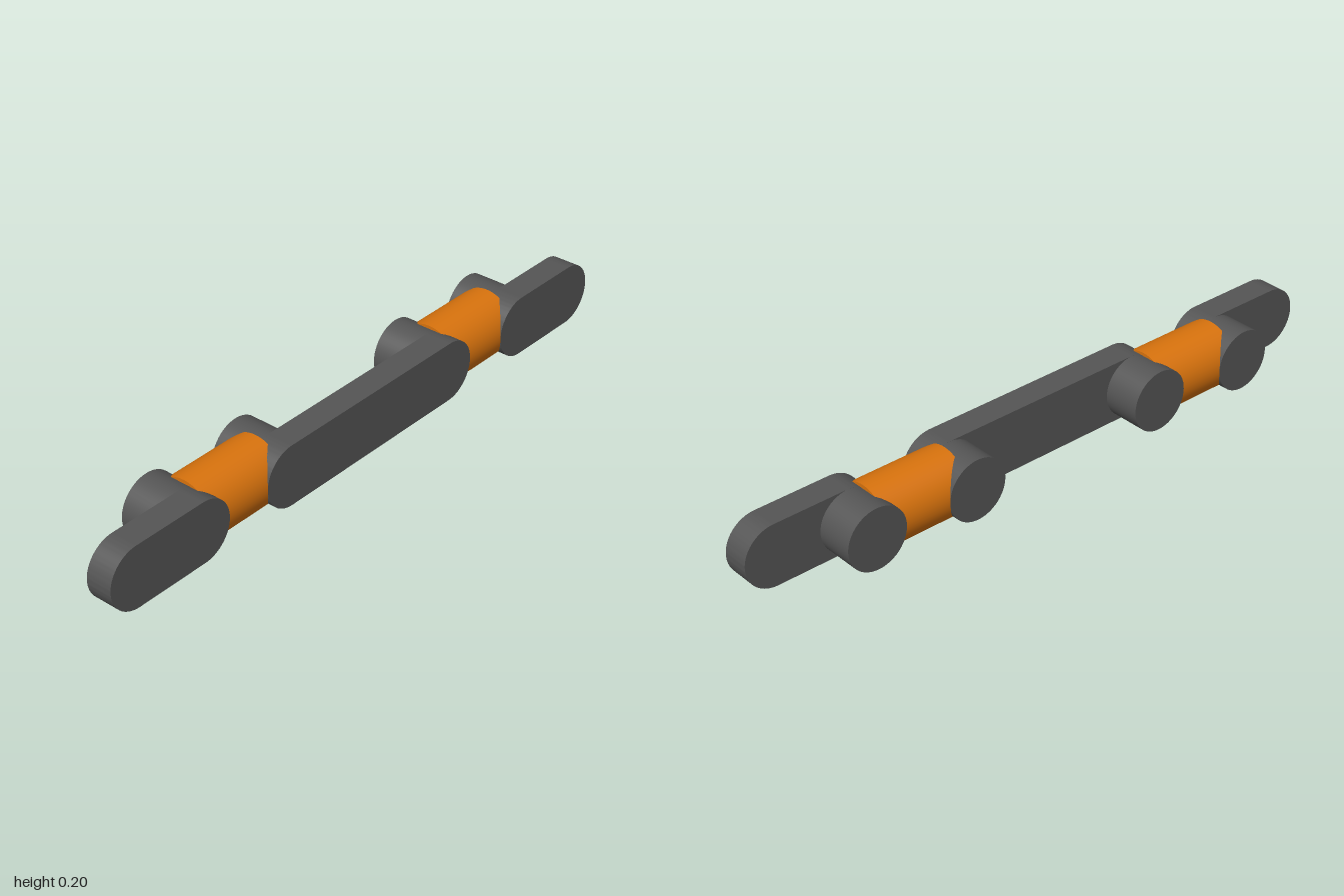
import * as THREE from 'three';
import { toCreasedNormals } from 'three/addons/utils/BufferGeometryUtils.js';

const R = 0.095;          // radius of plate ends and pins
const Y = 0.1;            // height of the common axis
const STEP = 0.017;       // back face of the plates
const DEPTH = 0.1;        // half depth of the whole model

const dark = new THREE.MeshStandardMaterial({ color: 0x555555 });
const orange = new THREE.MeshStandardMaterial({ color: 0xd9730d });

// Round-ended plate between two end centres
function plate(name, x0, x1) {
  const s = new THREE.Shape();
  s.moveTo(x0, -R);
  s.lineTo(x1, -R);
  s.absarc(x1, 0, R, -Math.PI / 2, Math.PI / 2, false);
  s.lineTo(x0, R);
  s.absarc(x0, 0, R, Math.PI / 2, Math.PI * 1.5, false);
  const geo = new THREE.ExtrudeGeometry(s, { depth: DEPTH - STEP, bevelEnabled: false, curveSegments: 24 });
  const mesh = new THREE.Mesh(toCreasedNormals(geo, 0.6), dark);
  mesh.name = name;
  mesh.position.set(0, Y, STEP);
  return mesh;
}

// Round pin running back from a plate end
function pin(name, x) {
  const length = DEPTH + STEP;
  const geo = new THREE.CylinderGeometry(R, R, length, 48).rotateX(Math.PI / 2);
  const mesh = new THREE.Mesh(geo, dark);
  mesh.name = name;
  mesh.position.set(x, Y, STEP - length / 2);
  return mesh;
}

// Coloured rod joining two neighbouring pins
function rod(name, x) {
  const geo = new THREE.CylinderGeometry(0.1, 0.1, 0.27, 64).rotateZ(Math.PI / 2);
  const mesh = new THREE.Mesh(geo, orange);
  mesh.name = name;
  mesh.position.set(x, Y, 0);
  return mesh;
}

export function createModel() {
  const model = new THREE.Group();
  model.name = 'linkedBar';
  model.add(plate('centrePlate', -0.335, 0.335));
  for (const [side, sx] of [['left', 1], ['right', -1]]) {
    const [a, b] = [0.67 * sx, 0.905 * sx].sort((p, q) => p - q);
    model.add(
      plate(side + 'EndPlate', a, b),
      pin(side + 'OuterPin', 0.67 * sx),
      pin(side + 'InnerPin', 0.335 * sx),
      rod(side + 'Rod', 0.5 * sx)
    );
  }
  return model;
}
